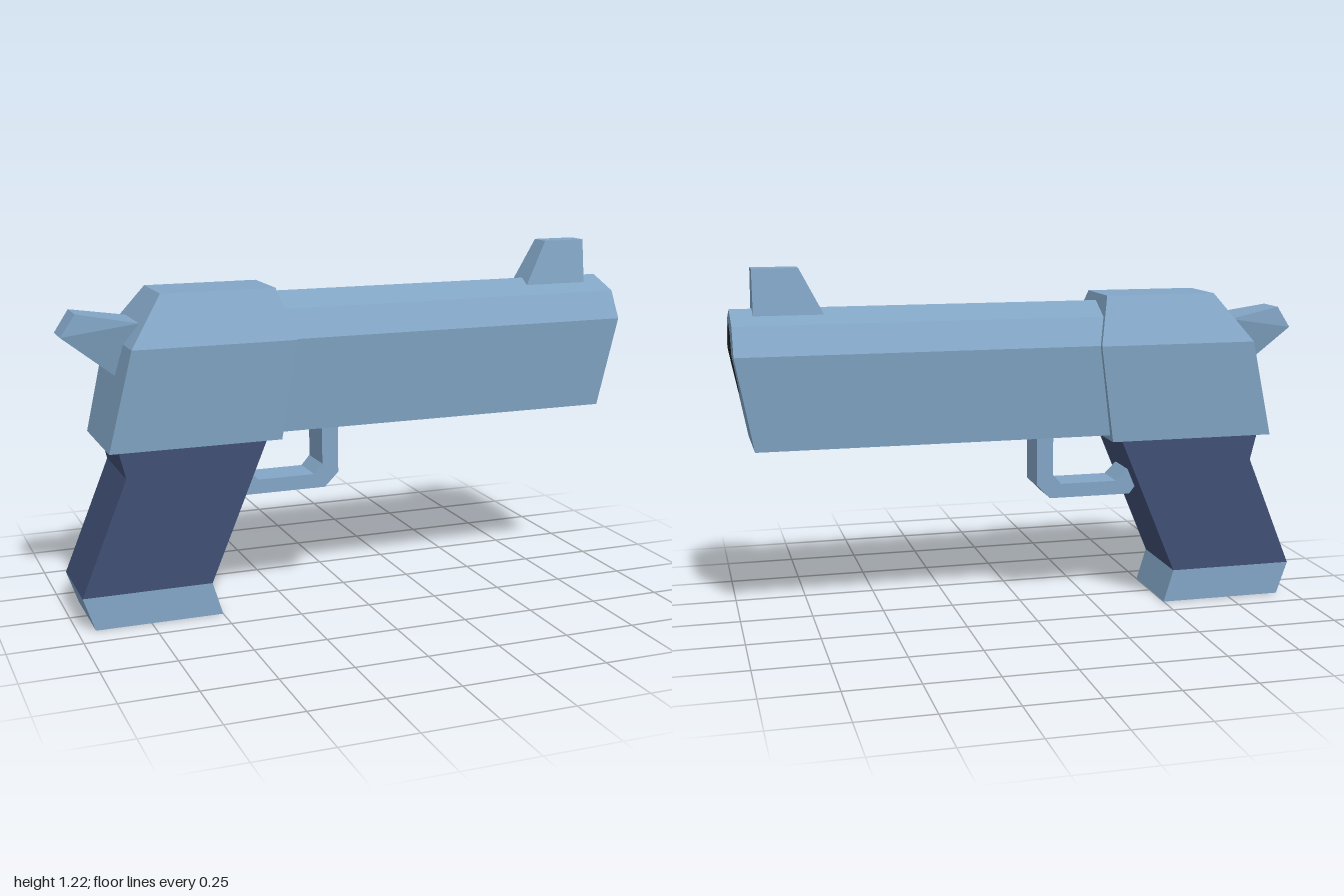
import * as THREE from 'three';
import { ConvexGeometry } from 'three/addons/geometries/ConvexGeometry.js';

const steel = new THREE.MeshStandardMaterial({ color: 0x82a5c5 });
steel.name = 'steelBlue';
const navy = new THREE.MeshStandardMaterial({ color: 0x404f74 });
navy.name = 'gripNavy';
const black = new THREE.MeshStandardMaterial({ color: 0x202020, side: THREE.DoubleSide });
black.name = 'boreBlack';

export function createModel() {
  const group = new THREE.Group();

  const add = (name, geometry, material) => {
    const mesh = new THREE.Mesh(geometry, material);
    mesh.name = name;
    group.add(mesh);
  };

  // Faceted solid from [x, y, halfWidth] points, mirrored across z = 0
  const solid = (name, points, material) => {
    const corners = points.flatMap(([x, y, w]) => w === 0
      ? [new THREE.Vector3(x, y, 0)]
      : [new THREE.Vector3(x, y, w), new THREE.Vector3(x, y, -w)]);
    add(name, new ConvexGeometry(corners), material);
  };

  // Side profile in x, y given a constant width
  const slab = (name, points, halfWidth, material) => {
    const shape = new THREE.Shape(points.map(([x, y]) => new THREE.Vector2(x, y)));
    const geometry = new THREE.ExtrudeGeometry(shape, { depth: 2 * halfWidth, bevelEnabled: false });
    geometry.translate(0, 0, -halfWidth);
    add(name, geometry, material);
  };

  // Barrel: ridged top, muzzle raked below the widest line
  const section = [[1.085, 0], [1.04, 0.13], [0.945, 0.184], [0.625, 0.155]];
  solid('barrel', section.flatMap(([y, w]) => [
    [-0.33, y, w],
    [y < 0.9 ? 0.94 : 1, y, w],
  ]), steel);

  // Receiver
  solid('receiver', [
    [-0.88, 0.605, 0.18], [-0.29, 0.605, 0.18],
    [-0.8, 0.945, 0.2], [-0.24, 0.945, 0.2],
    [-0.68, 1.11, 0.11], [-0.285, 1.11, 0.11],
  ], steel);

  // Hammer
  solid('hammer', [
    [-1, 0.975, 0.055], [-0.95, 1.05, 0.06],
    [-0.75, 1.015, 0.1], [-0.79, 0.81, 0.05],
  ], steel);

  // Front sight
  solid('frontSight', [
    [0.69, 1.065, 0.058], [0.925, 1.065, 0.058],
    [0.77, 1.22, 0.038], [0.925, 1.22, 0.038],
  ], steel);

  // Grip and its base
  slab('grip', [
    [-0.845, 0.61], [-0.82, 0.51], [-0.98, 0.115], [-0.535, 0.115], [-0.33, 0.61],
  ], 0.149, navy);
  slab('gripBase', [
    [-0.98, 0.115], [-0.94, 0], [-0.5, 0], [-0.535, 0.115],
  ], 0.15, steel);

  // Trigger guard
  slab('triggerGuard', [
    [-0.045, 0.63], [-0.045, 0.44], [-0.095, 0.39], [-0.39, 0.39], [-0.41, 0.415],
    [-0.41, 0.48], [-0.38, 0.48], [-0.34, 0.44], [-0.135, 0.44], [-0.105, 0.475], [-0.105, 0.63],
  ], 0.067, steel);

  // Bore: a thin dark face following the bent muzzle
  const rows = [[1.04, 0], [1.01, 0.07], [0.945, 0.114], [0.88, 0.1], [0.807, 0.055]];
  const positions = [];
  const index = [];
  rows.forEach(([y, w], i) => {
    const x = 1.003 - Math.max(0, 0.945 - y) * 0.06 / 0.32;
    positions.push(x, y, w, x, y, -w);
    if (i > 0) {
      const a = 2 * i - 2;
      if (i > 1) index.push(a, a + 3, a + 1);
      index.push(a, a + 2, a + 3);
    }
  });
  const bore = new THREE.BufferGeometry();
  bore.setAttribute('position', new THREE.Float32BufferAttribute(positions, 3));
  bore.setIndex(index);
  const flatBore = bore.toNonIndexed();
  flatBore.computeVertexNormals();
  add('bore', flatBore, black);

  return group;
}
